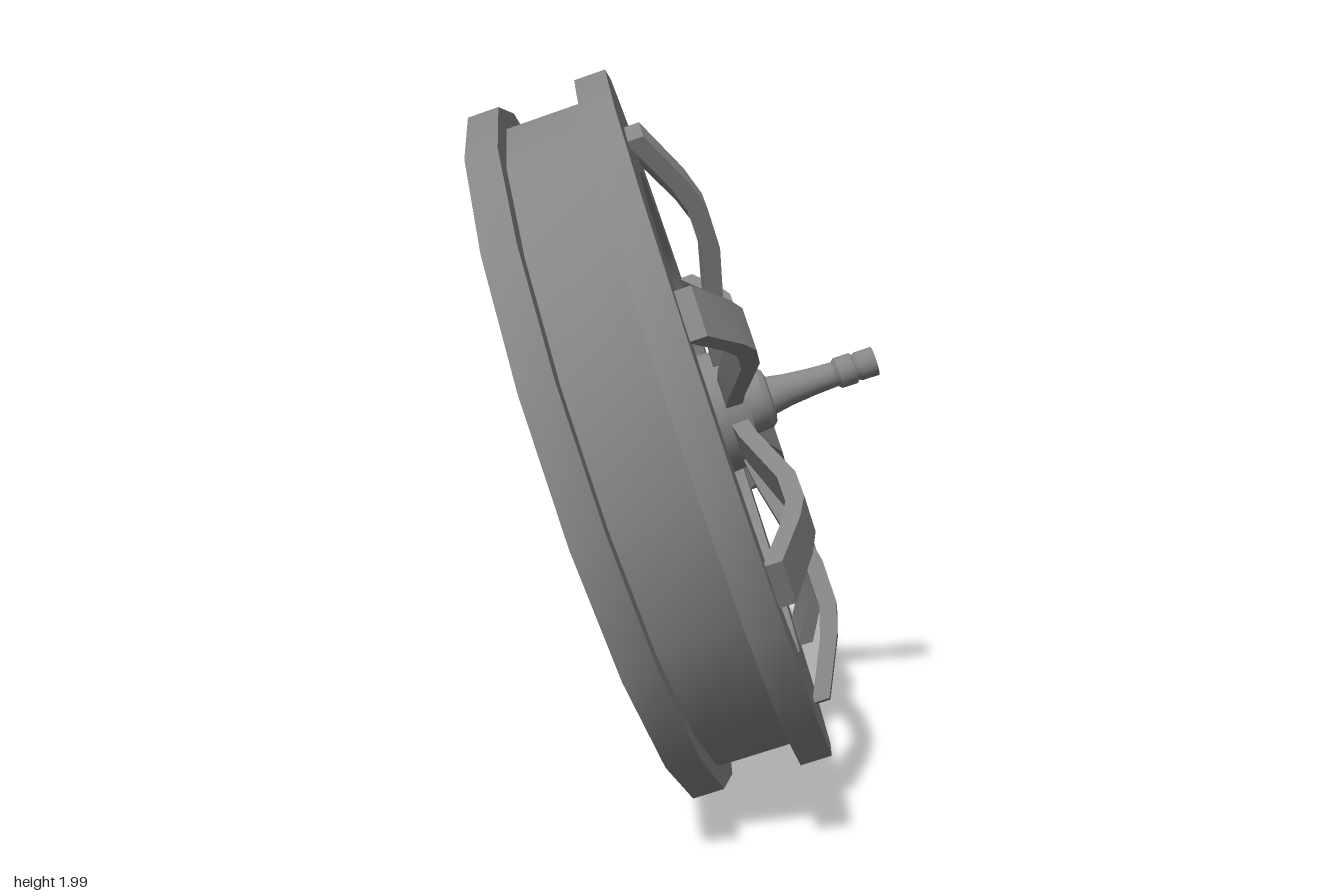
import * as THREE from 'three';
import { toCreasedNormals } from 'three/addons/utils/BufferGeometryUtils.js';

const material = new THREE.MeshStandardMaterial({ color: 0x868686 });

function mesh(name, geometry, crease = 0.6) {
  const m = new THREE.Mesh(toCreasedNormals(geometry, crease), material);
  m.name = name;
  return m;
}

// Turned part from [radius, distance along axle] pairs; the axle is local z
function turned(profile, sides, start = 0) {
  const points = profile.map(([r, d]) => new THREE.Vector2(r, d));
  return new THREE.LatheGeometry(points, sides, start).rotateX(Math.PI / 2);
}

// Bowed spoke: side profile (radius, distance) swept across a width that grows outwards
function spokeGeometry() {
  const half = 0.024;
  const path = [[0.1, 0.225], [0.24, 0.245], [0.37, 0.275], [0.5, 0.305], [0.62, 0.305], [0.7, 0.28], [0.855, 0.207]];
  const top = path.map(([r, d]) => new THREE.Vector2(r, d + half));
  const bottom = path.map(([r, d]) => new THREE.Vector2(r, d - half)).reverse();
  const geometry = new THREE.ExtrudeGeometry(new THREE.Shape([...bottom, ...top]), { depth: 1, bevelEnabled: false });
  const p = geometry.attributes.position;
  for (let i = 0; i < p.count; i++) {
    const width = 0.075 + 0.06 * p.getX(i);
    p.setZ(i, (p.getZ(i) - 0.5) * width);
  }
  return geometry.rotateX(Math.PI / 2);
}

export function createModel() {
  const model = new THREE.Group();
  const wheel = new THREE.Group();
  wheel.name = 'wheel';

  // Rim with two flanges and a shallow groove between them
  const rim = [
    [0.72, -0.19], [1, -0.19], [1, -0.105], [0.94, -0.105],
    [0.94, 0.105], [1, 0.105], [1, 0.19], [0.72, 0.19], [0.72, -0.19],
  ];
  wheel.add(mesh('rim', turned(rim, 18, Math.PI / 18)));

  // Thin hub disc, slightly wider at the back
  wheel.add(mesh('hub', turned([[0, 0.155], [0.178, 0.155], [0.167, 0.27], [0, 0.27]], 24)));

  // Boss and flared axle with a collared tip
  const axle = [
    [0, 0.26], [0.094, 0.26], [0.09, 0.32], [0.077, 0.335], [0.056, 0.34], [0.047, 0.39], [0.04, 0.46],
    [0.036, 0.53], [0.045, 0.54], [0.045, 0.585], [0.037, 0.592], [0.042, 0.6], [0.042, 0.65], [0, 0.65],
  ];
  wheel.add(mesh('axle', turned(axle, 20)));

  // Eight spokes
  const spoke = spokeGeometry();
  for (let i = 0; i < 8; i++) {
    const s = mesh('spoke', spoke, 0.2);
    s.rotation.z = THREE.MathUtils.degToRad(19.3 + 45 * i);
    wheel.add(s);
  }

  // Tilt the axle, then raise the wheel to stand on the ground
  wheel.lookAt(0.87, 0.32, 0.37);
  wheel.position.y = 1;
  model.add(wheel);
  return model;
}
